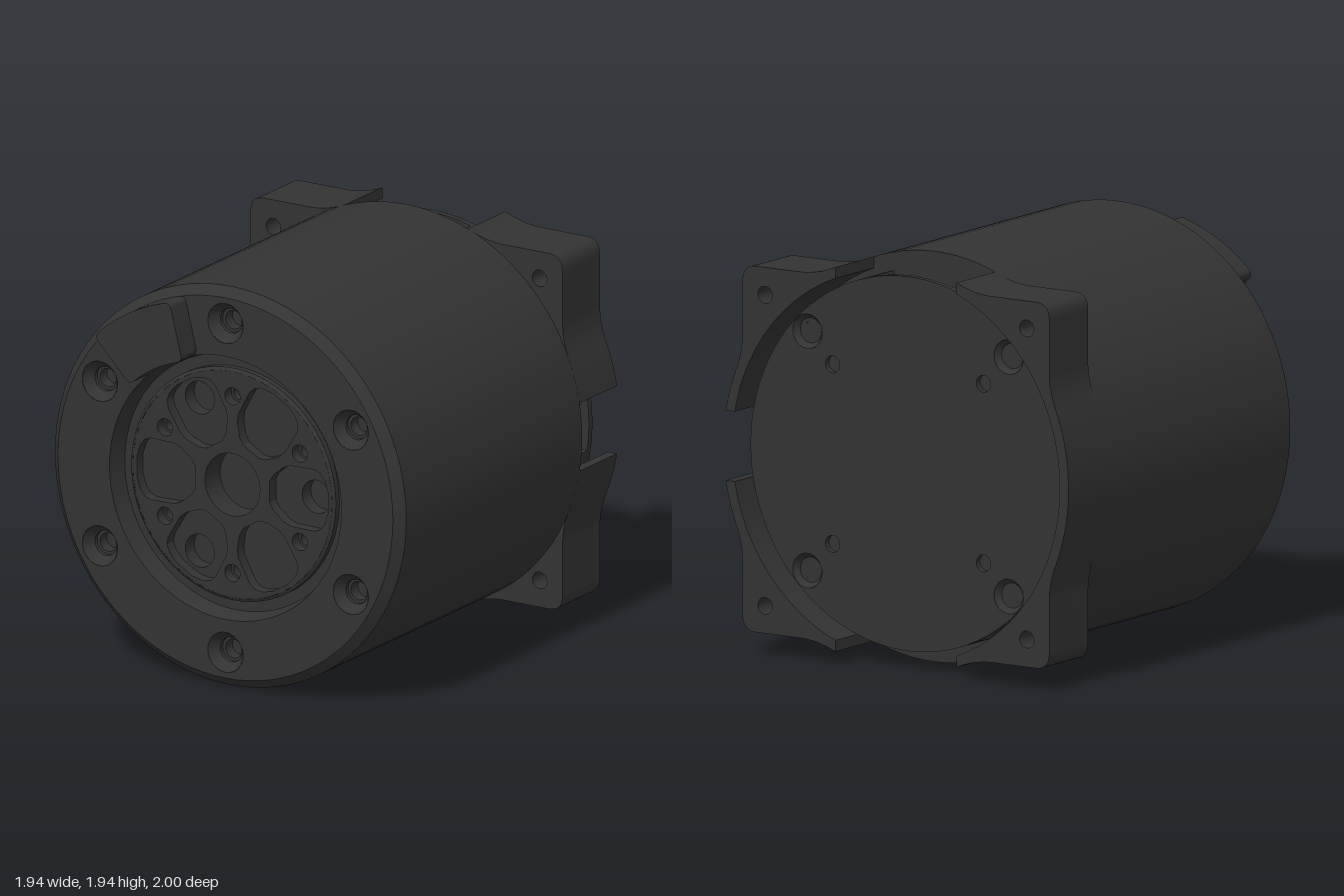
import * as THREE from 'three';
import { toCreasedNormals } from 'three/addons/utils/BufferGeometryUtils.js';

const PI = Math.PI;
const dark = new THREE.MeshStandardMaterial({ color: 0x333333, side: THREE.DoubleSide });

// Everything is built around the z axis, then lifted onto the ground
export function createModel() {
  const model = new THREE.Group();
  model.name = 'gearMotor';
  model.position.y = 0.975;

  const add = (name, geometry, x = 0, y = 0, z = 0) => {
    const mesh = new THREE.Mesh(toCreasedNormals(geometry, 0.5), dark);
    mesh.name = name;
    mesh.position.set(x, y, z);
    model.add(mesh);
    return mesh;
  };
  // Profile points are [radius, z]
  const lathe = (points, segments = 96) =>
    new THREE.LatheGeometry(points.map(p => new THREE.Vector2(...p)), segments).rotateX(PI / 2);
  const circle = (r, x = 0, y = 0) => new THREE.Shape().absarc(x, y, r, 0, 2 * PI);
  const polar = (r, a) => [r * Math.cos(a), r * Math.sin(a)];
  const slab = (shape, z0, z1, curveSegments = 48) =>
    new THREE.ExtrudeGeometry(shape, { depth: z1 - z0, bevelEnabled: false, curveSegments }).translate(0, 0, z0);
  const around = (n, start, r) => Array.from({ length: n }, (_, i) => polar(r, start + i * 2 * PI / n));

  // Housing: chamfered drum with a recess for the output
  add('housing', lathe([[0, -0.68], [0.97, -0.68], [0.97, 0.825], [0.925, 0.87]]));
  add('outputRecess', lathe([[0.64, 0.87], [0.62, 0.77], [0.565, 0.77], [0.565, 0.80], [0.55, 0.81]]));

  // Front ring with six countersunk screws
  const ring = circle(0.925);
  ring.holes.push(circle(0.64));
  const screws = around(6, PI / 2, 0.8);
  for (const [x, y] of screws) {
    ring.holes.push(circle(0.097, x, y));
    add('frontScrew', lathe([[0.097, 0], [0.06, -0.05], [0.06, -0.07], [0.045, -0.07],
      [0.045, -0.13], [0, -0.13]], 24), x, y, 0.87);
  }
  add('frontRing', new THREE.ShapeGeometry(ring, 48));

  model.children.at(-1).position.z = 0.87;

  // Output flange: six pockets, six tapped holes and a bore
  const flange = circle(0.55);
  const flangeFloor = circle(0.56);
  const half = [[0.205, 0.05], [0.225, 0.085], [0.28, 0.13], [0.32, 0.147], [0.45, 0.15],
    [0.485, 0.137], [0.51, 0.105], [0.528, 0.05]];
  const pocket = [...half.map(([x, y]) => [x, -y]), ...half.slice().reverse()];
  for (let i = 0; i < 6; i++) {
    const a = i * PI / 3;
    flange.holes.push(new THREE.Path(pocket.map(([x, y]) => new THREE.Vector2(x, y)
      .rotateAround(new THREE.Vector2(), a))));
    if (i % 2 === 0) flangeFloor.holes.push(circle(0.08, ...polar(0.43, a)));
  }
  for (const [x, y] of around(6, PI / 6, 0.43)) {
    flange.holes.push(circle(0.042, x, y));
    flangeFloor.holes.push(circle(0.03, x, y));
  }
  flange.holes.push(circle(0.152));
  flangeFloor.holes.push(circle(0.152));
  add('outputFlange', slab(flange, 0.755, 0.81, 24));
  add('flangeFloor', slab(flangeFloor, 0.68, 0.755, 24));
  add('flangeBack', slab(circle(0.56), 0.66, 0.68));

  // Raised key on the front ring, with rounded corners
  const [a0, a1, r0, r1, c] = [104 * PI / 180, 134 * PI / 180, 0.64, 0.925, 0.035];
  const key = new THREE.Shape();
  key.moveTo(...polar(r0 + c, a0));
  key.lineTo(...polar(r1 - c, a0));
  key.quadraticCurveTo(...polar(r1, a0), ...polar(r1, a0 + c / r1));
  key.absarc(0, 0, r1, a0 + c / r1, a1 - c / r1);
  key.quadraticCurveTo(...polar(r1, a1), ...polar(r1 - c, a1));
  key.lineTo(...polar(r0 + c, a1));
  key.quadraticCurveTo(...polar(r0, a1), ...polar(r0, a1 - c / r0));
  key.absarc(0, 0, r0, a1 - c / r0, a0 + c / r0, true);
  key.quadraticCurveTo(...polar(r0, a0), ...polar(r0 + c, a0));
  add('frontKey', slab(key, 0.86, 1.0, 12));

  // Corner brackets: the pair at +x stops at a cable gap, the pair at -x meets in a wall
  const R = 0.97, inner = 0.92, blend = 0.39;
  for (const sx of [1, -1]) for (const sy of [1, -1]) {
    const cut = sx > 0 ? 0.165 : 0;
    const s = new THREE.Shape();
    s.absarc(0, 0, R, Math.asin(cut / R), blend);
    s.quadraticCurveTo(0.862, 0.455, 0.862, 0.54);
    s.lineTo(0.862, 0.785);
    s.quadraticCurveTo(0.862, 0.865, 0.785, 0.865);
    s.lineTo(0.54, 0.865);
    s.quadraticCurveTo(0.455, 0.865, ...polar(R, PI / 2 - blend));
    s.absarc(0, 0, R, PI / 2 - blend, Math.acos(0.34 / R));
    s.absarc(0, 0, inner, Math.acos(0.34 / inner), Math.asin(cut / inner), true);
    const bracket = new THREE.Shape(s.getPoints(20).map(p => new THREE.Vector2(p.x * sx, p.y * sy)));
    bracket.holes.push(circle(0.04, 0.735 * sx, 0.735 * sy));
    add('cornerBracket', slab(bracket, -1, -0.68, 16));
  }

  // Rear cup wall, open at the top, bottom and +x windows
  const side = 0.148, top = 0.264;
  for (const [from, to] of [[side, PI / 2 - top], [PI / 2 + top, 1.5 * PI - top], [1.5 * PI + top, 2 * PI - side]]) {
    const wall = new THREE.Shape();
    wall.absarc(0, 0, 0.885, from, to);
    wall.absarc(0, 0, 0.84, to, from, true);
    add('rearCupWall', slab(wall, -0.87, -0.68));
  }

  // Rear cover with four screw recesses and four small holes
  const cover = circle(0.885);
  const coverLining = circle(0.84);
  for (const [x, y] of around(4, PI / 4, 0.8)) {
    cover.holes.push(circle(0.082, x, y));
    add('rearScrew', lathe([[0.082, 0], [0.06, 0.03], [0.045, 0.03], [0.045, 0.055], [0, 0.055]], 24), x, y, -0.9);
  }
  for (const [x, y] of around(4, PI / 4, 0.6)) cover.holes.push(circle(0.04, x, y));
  add('rearCover', slab(cover, -0.9, -0.87));
  add('rearCoverLining', slab(coverLining, -0.87, -0.835));

  return model;
}
